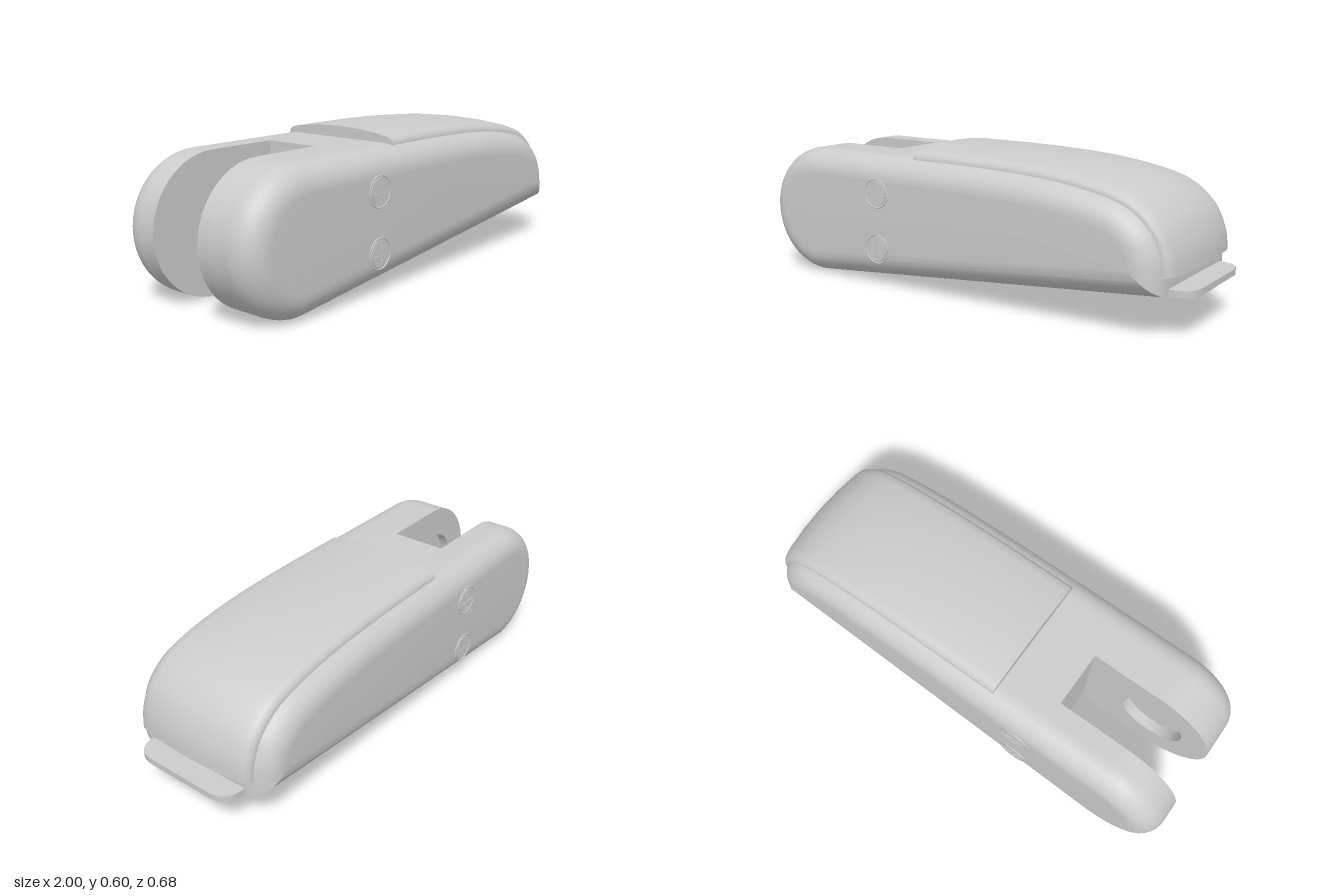
import * as THREE from 'three';
import { toCreasedNormals } from 'three/addons/utils/BufferGeometryUtils.js';

const V2 = (x, y) => new THREE.Vector2(x, y);
const material = new THREE.MeshStandardMaterial({ color: 0xcccccc });
const HALF = 0.335, ROUND = 0.1, WALL = 0.222; // body half width, edge radius, cavity half width
const FRONT = 0.91, STEP = -0.2, TAB = 0.54;   // front end, rear wall of the cavity, plate tab
const ROOF = 0.165, PLATE_TOP = 0.19;          // cavity ceiling behind and above the plate

// Side profile: sloping underside, domed front and top, round rear end
const floorY = (x) => 0.165 + (x - FRONT) * 0.1;
const topCurve = new THREE.SplineCurve([
  V2(FRONT, 0.165), V2(0.908, 0.24), V2(0.895, 0.32), V2(0.845, 0.41), V2(0.73, 0.485),
  V2(0.5, 0.53), V2(0.2, 0.549), V2(STEP, 0.552),
]).getSpacedPoints(56);
const rearArc = [];
for (let i = 0; i <= 28; i++) {
  const a = Math.PI / 2 + (i / 28) * 3.24;
  rearArc.push(V2(-0.724 + 0.276 * Math.cos(a), 0.276 + 0.276 * Math.sin(a)));
}
const profile = [...topCurve, ...rearArc];

// Unit outward normal at point i of a counter-clockwise line of points
function normalAt(points, i, closed) {
  const n = points.length;
  const a = points[closed ? (i + n - 1) % n : Math.max(i - 1, 0)];
  const b = points[closed ? (i + 1) % n : Math.min(i + 1, n - 1)];
  return V2(b.y - a.y, a.x - b.x).normalize();
}

// Profile shrunk by d, kept inside the shrunken front and underside
function inset(d) {
  return profile.map((p, i) => {
    const q = p.clone().addScaledVector(normalAt(profile, i, true), -d);
    q.x = Math.min(q.x, FRONT - d);
    q.y = Math.max(q.y, floorY(q.x) + d);
    return q;
  });
}

// Closed skin through rings of points, with flat ends cut from the given outlines
function loft(rings, startOutline, endOutline, crease = 0.5) {
  const pos = [];
  const tri = (...pts) => pts.forEach((p) => pos.push(p.x, p.y, p.z));
  const n = rings[0].length;
  for (let r = 0; r < rings.length - 1; r++) {
    for (let i = 0; i < n; i++) {
      const j = (i + 1) % n, A = rings[r], B = rings[r + 1];
      tri(A[i], A[j], B[j]);
      tri(A[i], B[j], B[i]);
    }
  }
  const first = rings[0], last = rings[rings.length - 1];
  THREE.ShapeUtils.triangulateShape(startOutline, []).forEach(([a, b, c]) => tri(first[a], first[c], first[b]));
  THREE.ShapeUtils.triangulateShape(endOutline, []).forEach(([a, b, c]) => tri(last[a], last[b], last[c]));
  const g = new THREE.BufferGeometry();
  g.setAttribute('position', new THREE.Float32BufferAttribute(pos, 3));
  return toCreasedNormals(g, crease);
}

function add(parent, name, geometry) {
  const mesh = new THREE.Mesh(geometry, material);
  mesh.name = name;
  parent.add(mesh);
  return mesh;
}

// Outer side wall with a rounded outer edge
function sideWall(side) {
  const levels = [{ z: WALL, d: 0 }];
  for (let i = 0; i <= 8; i++) {
    const a = (i / 8) * Math.PI / 2;
    levels.push({ z: HALF - ROUND + ROUND * Math.sin(a), d: ROUND * (1 - Math.cos(a)) });
  }
  if (side < 0) levels.reverse();
  const outlines = levels.map((l) => inset(l.d));
  const rings = outlines.map((o, k) => o.map((p) => new THREE.Vector3(p.x, p.y, side * levels[k].z)));
  return loft(rings, outlines[0], outlines[outlines.length - 1]);
}

// Slab of the inner body between two z values
function slab(points, z0, z1, hole) {
  const shape = new THREE.Shape(points);
  if (hole) shape.holes.push(hole);
  const g = new THREE.ExtrudeGeometry(shape, { depth: z1 - z0, bevelEnabled: false, curveSegments: 32 });
  g.translate(0, 0, z0);
  return toCreasedNormals(g, 0.5);
}

const circle = (x, y, r) => new THREE.Path().absarc(x, y, r, 0, Math.PI * 2, true);

// Round screw head facing +z, with a cross-shaped drive; bevel 0 leaves it flat
function screwHead(r, height, bevel) {
  const shape = new THREE.Shape().absarc(0, 0, r, 0, Math.PI * 2, false);
  const w = r * 0.13, l = r * 0.75, cross = [];
  for (let k = 0; k < 4; k++) {
    [[l, -w], [l, w], [w, w]].forEach(([x, y]) =>
      cross.push(V2(x, y).rotateAround(V2(0, 0), (k * Math.PI) / 2)));
  }
  shape.holes.push(new THREE.Path(cross.reverse()));
  const g = new THREE.ExtrudeGeometry(shape, {
    depth: height - bevel, bevelEnabled: bevel > 0, bevelSize: bevel, bevelThickness: bevel,
    bevelOffset: -bevel, bevelSegments: 4, curveSegments: 24,
  });
  return toCreasedNormals(g, 0.6);
}

export function createModel() {
  const model = new THREE.Group();
  model.name = 'clampHousing';

  // Body: two side walls, inner slabs with the underside cavity and rear slot
  const body = new THREE.Group();
  body.name = 'body';
  model.add(body);
  add(body, 'leftSideWall', sideWall(1));
  add(body, 'rightSideWall', sideWall(-1));
  const front = topCurve.filter((p) => p.y > PLATE_TOP + 0.005);
  const cavity = [
    V2(STEP, floorY(STEP) - 0.008), V2(STEP, ROOF), V2(TAB, ROOF), V2(TAB, PLATE_TOP),
    V2(0.909, PLATE_TOP), ...front,
  ];
  const core = [...cavity, ...rearArc];
  const middle = [...cavity, V2(-0.43, 0.552), V2(-0.43, floorY(-0.43))];
  add(body, 'leftFork', slab(core, 0.13, WALL));
  add(body, 'leftForkWithPivotRecess', slab(core, 0.085, 0.13, circle(-0.74, 0.28, 0.14)));
  add(body, 'rightFork', slab(core, -WALL, -0.15));
  add(body, 'bodyCore', slab(middle, -0.15, 0.085));

  // Raised crowned cover over the top and front
  const half = [[0.27, -0.04], [0.27, -0.003], [0.265, 0.012], [0.25, 0.023], [0.22, 0.03], [0.11, 0.042]];
  const section = [
    ...half.map(([z, t]) => V2(z, t)), V2(0, 0.046),
    ...half.map(([z, t]) => V2(-z, t)).reverse(),
  ];
  const path = topCurve.filter((p) => p.y >= 0.235);
  const rings = path.map((p, i) => {
    const n = normalAt(path, i, false);
    return section.map((s) => new THREE.Vector3(p.x + n.x * s.y, p.y + n.y * s.y, s.x));
  });
  add(model, 'topCover', loft(rings, section, section, 0.7));

  // Sliding plate under the front, with two slots and a bent tab at its rear edge
  const plateShape = new THREE.Shape();
  plateShape.moveTo(TAB, -0.23).lineTo(0.91, -0.23)
    .bezierCurveTo(0.97, -0.23, 1, -0.2, 1, -0.14)
    .lineTo(1, 0.14).bezierCurveTo(1, 0.2, 0.97, 0.23, 0.91, 0.23).lineTo(TAB, 0.23);
  for (const s of [-1, 1]) {
    const slot = new THREE.Path();
    slot.absarc(0.62, s * 0.117, 0.025, Math.PI / 2, Math.PI * 1.5, false);
    slot.absarc(0.8, s * 0.117, 0.025, -Math.PI / 2, Math.PI / 2, false);
    plateShape.holes.push(slot);
  }
  const plate = new THREE.ExtrudeGeometry(plateShape, { depth: 0.025, bevelEnabled: false });
  plate.rotateX(Math.PI / 2).translate(0, PLATE_TOP, 0);
  add(model, 'slidingPlate', toCreasedNormals(plate, 0.5));
  add(model, 'plateTab', new THREE.BoxGeometry(0.02, 0.045, WALL * 2)).position.set(TAB + 0.01, 0.156, 0);

  // Screws holding the plate, facing down
  for (const s of [-1, 1]) {
    const screw = add(model, 'plateScrew', screwHead(0.058, 0.038, 0.016));
    screw.rotation.x = Math.PI / 2;
    screw.position.set(0.67, 0.159, s * 0.117);
  }

  // Two nearly flush screws with thin collars on each side
  for (const side of [1, -1]) {
    for (const y of [0.4, 0.165]) {
      const group = new THREE.Group();
      group.name = 'sideScrew';
      group.position.set(-0.35, y, side * HALF);
      if (side < 0) group.rotation.y = Math.PI;
      add(group, 'screwHead', screwHead(0.051, 0.009, 0)).position.z = -0.006;
      add(group, 'screwCollar', new THREE.TorusGeometry(0.06, 0.003, 8, 40));
      model.add(group);
    }
  }
  return model;
}
